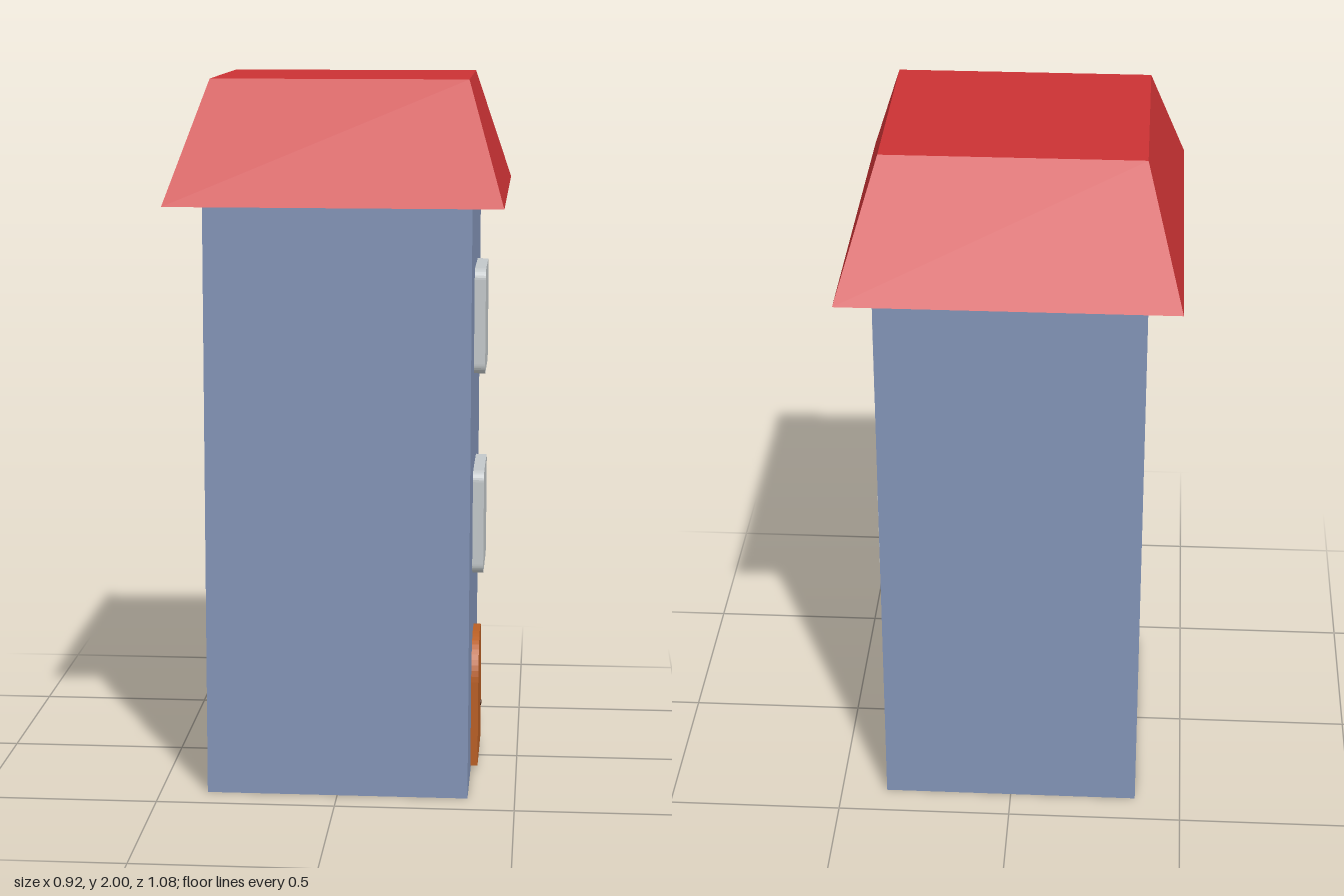
import * as THREE from 'three';

const wallBlue = new THREE.MeshStandardMaterial({ color: 0x8293b6, side: THREE.DoubleSide });
wallBlue.name = 'wallBlue';
const roofRed = new THREE.MeshStandardMaterial({ color: 0xca3234 });
roofRed.name = 'roofRed';
const windowGrey = new THREE.MeshStandardMaterial({ color: 0xc2c7c9 });
windowGrey.name = 'windowGrey';
const doorOrange = new THREE.MeshStandardMaterial({ color: 0xb85e24 });
doorOrange.name = 'doorOrange';
const knobBrown = new THREE.MeshStandardMaterial({ color: 0x5a2e14 });
knobBrown.name = 'knobBrown';

const WALL_X = 0.367; // outer face of the wall that carries door and windows

function addMesh(group, name, geometry, material) {
  const mesh = new THREE.Mesh(geometry, material);
  mesh.name = name;
  group.add(mesh);
  return mesh;
}

// Upright panel with rounded top and bottom corners, centred on local x
function panelShape(halfWidth, y0, y1, topRadius, bottomRadius) {
  const w = halfWidth, t = topRadius, b = bottomRadius;
  const s = new THREE.Shape();
  s.moveTo(-w + b, y0);
  s.lineTo(w - b, y0);
  if (b > 0) s.absarc(w - b, y0 + b, b, -Math.PI / 2, 0);
  s.lineTo(w, y1 - t);
  s.absarc(w - t, y1 - t, t, 0, Math.PI / 2);
  s.lineTo(-w + t, y1);
  s.absarc(-w + t, y1 - t, t, Math.PI / 2, Math.PI);
  s.lineTo(-w, y0 + b);
  if (b > 0) s.absarc(-w + b, y0 + b, b, Math.PI, Math.PI * 1.5);
  return s;
}

// Extrude a panel outward (+x) from the wall
function wallPanel(shape, depth, curveSegments) {
  return new THREE.ExtrudeGeometry(shape, { depth, bevelEnabled: false, curveSegments })
    .rotateY(Math.PI / 2)
    .translate(WALL_X, 0, 0);
}

export function createModel() {
  const house = new THREE.Group();
  house.name = 'towerHouse';

  // Walls: a box shell without top and bottom
  const walls = new THREE.BoxGeometry(0.735, 1.67, 0.81);
  const index = Array.from(walls.index.array);
  walls.setIndex(index.filter((_, i) => i < 12 || i >= 24));
  walls.clearGroups();
  walls.translate(0, 0.835, 0);
  addMesh(house, 'walls', walls, wallBlue);

  // Roof: a box whose top is drawn in to a flat-topped hip
  const roof = new THREE.BoxGeometry(0.915, 0.33, 1.075);
  const p = roof.attributes.position;
  for (let i = 0; i < p.count; i++) {
    if (p.getY(i) > 0) {
      p.setX(i, Math.sign(p.getX(i)) * 0.355);
      p.setZ(i, Math.sign(p.getZ(i)) * 0.3);
    }
  }
  roof.computeVertexNormals();
  roof.translate(-0.002, 1.835, 0);
  addMesh(house, 'roof', roof, roofRed);

  // Two windows, one per upper floor
  [['lowerWindow', 0.585], ['upperWindow', 1.165]].forEach(([name, y]) => {
    addMesh(house, name, wallPanel(panelShape(0.15, y, y + 0.3, 0.03, 0.03), 0.032, 4), windowGrey);
  });

  // Arched door with a small flat knob
  addMesh(house, 'door', wallPanel(panelShape(0.15, 0.015, 0.39, 0.125, 0), 0.021, 6), doorOrange);
  const knob = new THREE.CylinderGeometry(0.008, 0.008, 0.006, 8).rotateZ(-Math.PI / 2);
  addMesh(house, 'doorKnob', knob, knobBrown).position.set(WALL_X + 0.021, 0.135, -0.09);

  return house;
}
